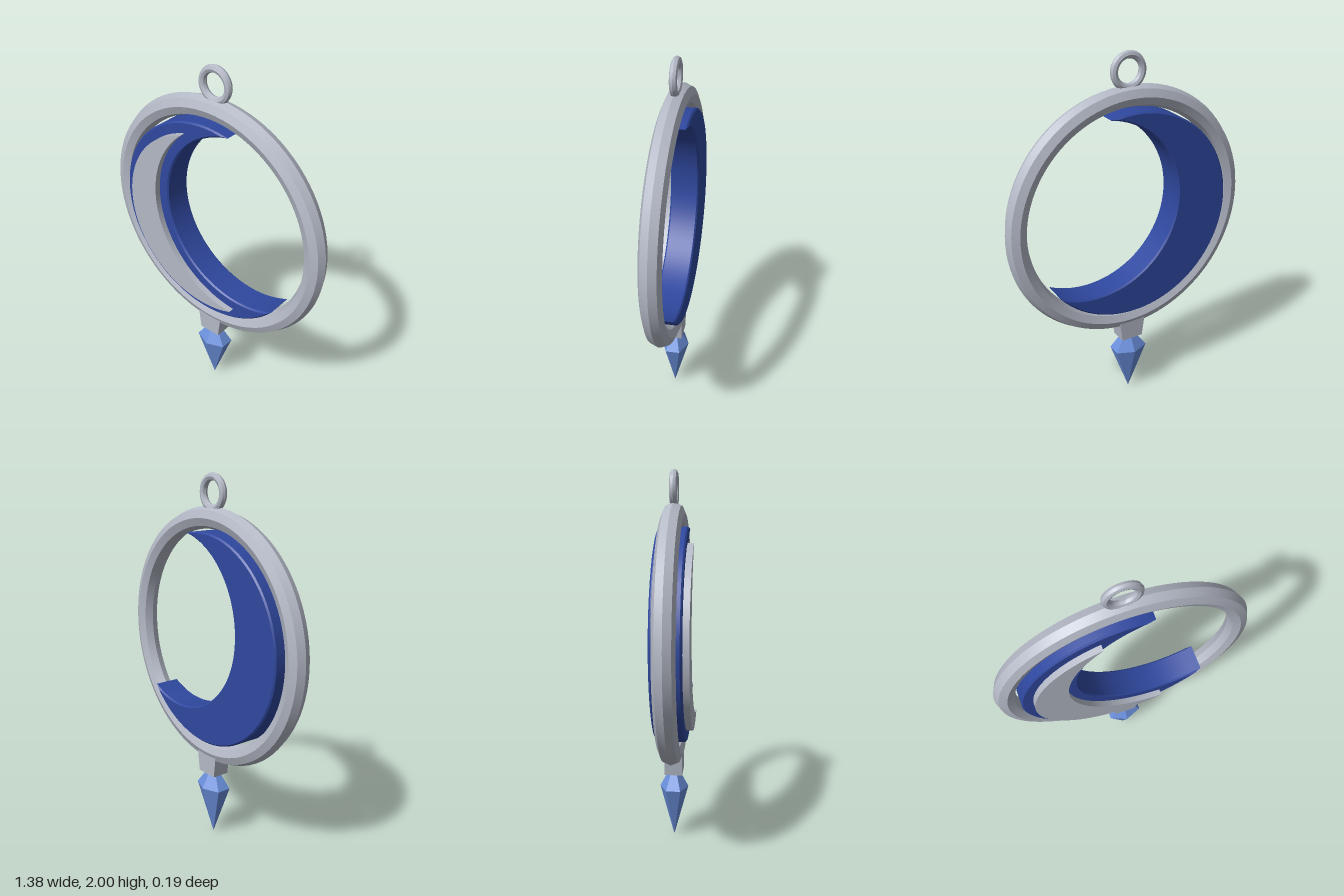
import * as THREE from 'three';
import { toCreasedNormals } from 'three/addons/utils/BufferGeometryUtils.js';

const ZC = -0.018;      // middle plane of the pendant
const CY = 1.142;       // centre height of the main ring

const silver = new THREE.MeshStandardMaterial({ name: 'silver', color: 0xb4b9c6 });
const deepBlue = new THREE.MeshStandardMaterial({ name: 'deepBlue', color: 0x2f489f });
const crystalBlue = new THREE.MeshStandardMaterial({ name: 'crystalBlue', color: 0x6a8fdb, flatShading: true });

// Solid crescent between two circles, from layers [z, inset] listed back to front
function crescentGeometry(outerR, innerR, layers, n = 72) {
  const cx = 0.22, cy = 0.075;
  const D = Math.hypot(cx, cy), phi = Math.atan2(cy, cx);
  const pos = [], idx = [], len = 2 * n;
  for (const [z, inset] of layers) {
    const R = outerR - inset, r = innerR + inset;
    const cosA = (D * D + R * R - r * r) / (2 * D * R);
    const a = Math.acos(cosA), b = Math.acos((R * cosA - D) / r);
    for (let j = 0; j < len; j++) {
      const outer = j <= n;
      const t = (outer ? j : len - j) / n;
      const half = outer ? a : b, rad = outer ? R : r;
      const ang = phi + half + t * (2 * Math.PI - 2 * half);
      pos.push(
        rad * Math.cos(ang) + (outer ? 0 : cx),
        rad * Math.sin(ang) + (outer ? 0 : cy),
        z
      );
    }
  }
  const tri = (a, b, c) => { if (a !== b && b !== c && a !== c) idx.push(a, b, c); };
  // walls
  for (let k = 0; k < layers.length - 1; k++) {
    for (let j = 0; j < len; j++) {
      const a = k * len + j, b = k * len + (j + 1) % len;
      tri(a, b, b + len);
      tri(a, b + len, a + len);
    }
  }
  // front and back faces
  const inner = i => (i === 0 ? 0 : len - i);
  const top = (layers.length - 1) * len;
  for (let i = 0; i < n; i++) {
    const q = [i, i + 1, inner(i + 1), inner(i)];
    tri(top + q[0], top + q[1], top + q[2]);
    tri(top + q[0], top + q[2], top + q[3]);
    tri(q[0], q[2], q[1]);
    tri(q[0], q[3], q[2]);
  }
  const g = new THREE.BufferGeometry();
  g.setAttribute('position', new THREE.Float32BufferAttribute(pos, 3));
  g.setIndex(idx);
  return toCreasedNormals(g, 0.5);
}

export function createModel() {
  const model = new THREE.Group();
  model.name = 'moonPendant';

  const add = (name, geometry, material, x, y, z) => {
    const mesh = new THREE.Mesh(geometry, material);
    mesh.name = name;
    mesh.position.set(x, y, z);
    model.add(mesh);
    return mesh;
  };

  // Faceted rings
  const ring = (R, r, seg) => toCreasedNormals(new THREE.TorusGeometry(R, r, 8, seg), 0.5);
  add('mainRing', ring(0.635, 0.057, 96), silver, 0, CY, ZC);
  add('hangingLoop', ring(0.079, 0.02, 40), silver, 0, 1.901, ZC);

  // Crescent moon with a slight bevel, and its raised inlay
  const bevel = 0.008;
  add('crescentMoon', crescentGeometry(0.569, 0.485, [
    [-0.078, bevel], [-0.078 + bevel, 0], [0.078 - bevel, 0], [0.078, bevel],
  ]), deepBlue, 0, CY, ZC);
  add('crescentInlay', crescentGeometry(0.508, 0.544, [[0.07, 0], [0.111, 0]]),
    silver, 0, CY, ZC);

  // Tapered holder under the ring
  const holder = new THREE.BoxGeometry(1, 0.14, 0.096);
  const p = holder.attributes.position;
  for (let i = 0; i < p.count; i++) p.setX(i, Math.sign(p.getX(i)) * (p.getY(i) > 0 ? 0.082 : 0.064));
  holder.computeVertexNormals();
  add('crystalHolder', holder, silver, 0, 0.442, ZC);

  // Six-sided crystal drop, narrower in depth
  const drop = new THREE.LatheGeometry([
    new THREE.Vector2(0, 0),
    new THREE.Vector2(0.11, 0.289),
    new THREE.Vector2(0, 0.43),
  ], 6);
  const crystal = add('crystalDrop', drop, crystalBlue, 0, 0, ZC);
  crystal.scale.z = 0.71;

  return model;
}
